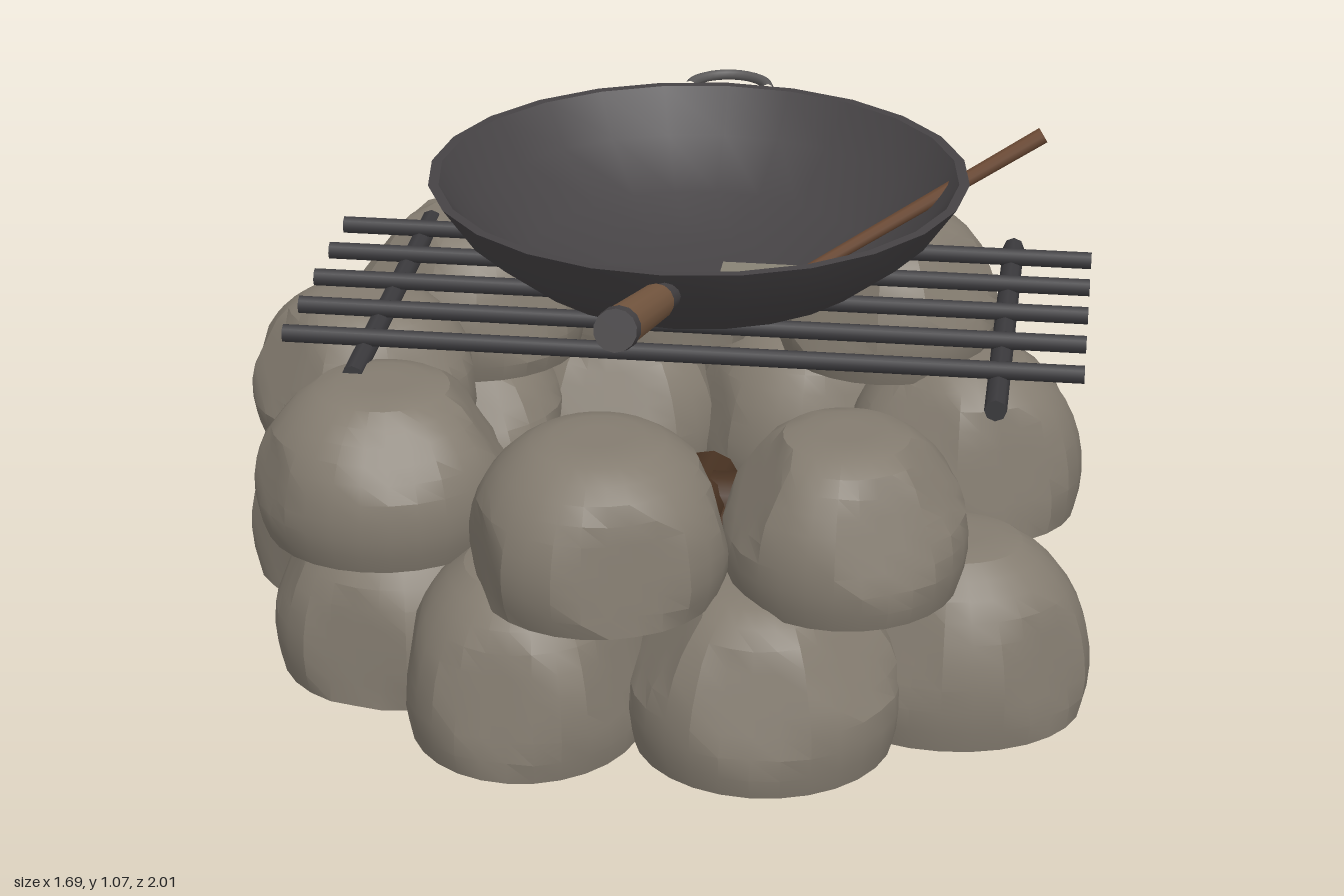
import * as THREE from 'three';
import { toCreasedNormals } from 'three/addons/utils/BufferGeometryUtils.js';

const mat = (name, color, side = THREE.FrontSide) => {
  const m = new THREE.MeshStandardMaterial({ color, side });
  m.name = name;
  return m;
};

// small seeded random generator
function seeded(seed) {
  let s = seed;
  return () => {
    s = (s * 16807) % 2147483647;
    return s / 2147483647;
  };
}

// boulder: a sphere cut flat underneath and chipped by a few planes
function boulderGeometry(rx, rz, height, seed) {
  const rand = seeded(seed * 7919 + 17);
  for (let i = 0; i < 4; i++) rand();
  const planes = [{ n: new THREE.Vector3(0, 1, 0), d: 0.92 }];
  const turn = rand() * 6.28;
  for (let i = 0; i < 5; i++) {
    const a = turn + i * 1.26 + rand() * 0.6;
    const n = new THREE.Vector3(Math.cos(a), -0.1 + rand() * 0.8, Math.sin(a)).normalize();
    planes.push({ n, d: 0.86 + rand() * 0.1 });
  }
  const rise = 0.09;
  const ry = (height - rise) / 0.92;
  const sink = rise / ry;
  const start = -Math.asin(sink);
  const profile = [new THREE.Vector2(0, -sink)];
  const steps = 12;
  for (let i = 0; i <= steps; i++) {
    const a = start + (Math.PI / 2 - start) * i / steps;
    profile.push(new THREE.Vector2(Math.max(Math.cos(a), 0) ** 0.9, Math.sin(a)));
  }
  const g = new THREE.LatheGeometry(profile, 28);
  const p = g.attributes.position;
  const v = new THREE.Vector3();
  for (let i = 0; i < p.count; i++) {
    v.fromBufferAttribute(p, i);
    const isBase = v.y < -sink + 1e-4;
    let r = 1;
    for (const { n, d } of planes) {
      const k = v.dot(n);
      if (k > 0) r = Math.min(r, d / k);
    }
    p.setXYZ(i, v.x * r * rx, isBase ? 0 : v.y * r * ry + rise, v.z * r * rz);
  }
  g.deleteAttribute('uv');
  return toCreasedNormals(g, 0.4);
}

export function createModel() {
  const stone = mat('stone', 0x847c70);
  const castIron = mat('castIron', 0x464345, THREE.DoubleSide);
  const barIron = mat('barIron', 0x3b3a3d);
  const steel = mat('steel', 0x5c5a5a);
  const ash = mat('ash', 0x423d40);
  const bark = mat('bark', 0x473121);
  const cutWood = mat('cutWood', 0x523924);
  const handleWood = mat('handleWood', 0x795a42);
  const spatulaWood = mat('spatulaWood', 0x6c4a34);
  const blade = mat('bladeMetal', 0x888274);

  const model = new THREE.Group();
  model.name = 'campfireWok';

  const add = (name, geometry, material, parent = model) => {
    const mesh = new THREE.Mesh(geometry, material);
    mesh.name = name;
    parent.add(mesh);
    return mesh;
  };

  // tapered round rod between two points
  const rod = (name, from, to, r0, r1, sides, material, parent) => {
    const a = new THREE.Vector3(...from), b = new THREE.Vector3(...to);
    const mesh = add(name, new THREE.CylinderGeometry(r1, r0, a.distanceTo(b), sides), material, parent);
    mesh.position.copy(a).add(b).multiplyScalar(0.5);
    mesh.quaternion.setFromUnitVectors(new THREE.Vector3(0, 1, 0), b.sub(a).normalize());
  };

  // two rings of boulders, open on the +x side: [x, z, rx, rz, height]
  const lower = [
    [0.58, 0.27, 0.265, 0.22, 0.345], [0.25, 0.45, 0.255, 0.255, 0.33], [-0.19, 0.45, 0.23, 0.26, 0.34],
    [-0.47, 0.23, 0.245, 0.245, 0.33], [-0.60, -0.15, 0.25, 0.24, 0.33], [-0.50, -0.53, 0.25, 0.25, 0.34],
    [-0.19, -0.74, 0.25, 0.255, 0.33], [0.23, -0.74, 0.255, 0.255, 0.34], [0.56, -0.58, 0.25, 0.23, 0.34],
  ];
  const upper = [
    [0.39, 0.40, 0.225, 0.23, 0.297], [-0.05, 0.48, 0.24, 0.24, 0.297], [-0.485, 0.28, 0.245, 0.235, 0.29],
    [-0.61, -0.145, 0.225, 0.205, 0.285], [-0.475, -0.575, 0.245, 0.225, 0.295], [-0.13, -0.77, 0.275, 0.235, 0.297],
    [0.385, -0.68, 0.235, 0.235, 0.297],
  ];
  const ring = (name, rows, y, seed) => {
    const group = new THREE.Group();
    group.name = name;
    rows.forEach(([x, z, rx, rz, h], i) => {
      add('boulder', boulderGeometry(rx, rz, h, seed + i), stone, group).position.set(x, y, z);
    });
    model.add(group);
  };
  ring('lowerStoneRing', lower, 0.003, 1);
  ring('upperStoneRing', upper, 0.31, 31);

  // ash bed
  add('ashBed', new THREE.CylinderGeometry(0.47, 0.47, 0.05, 24), ash).position.set(0.035, 0.025, -0.13);

  // firewood
  const logs = new THREE.Group();
  logs.name = 'firewood';
  model.add(logs);
  const logMaterials = [bark, cutWood, cutWood];
  rod('log', [-0.33, 0.13, 0.02], [0.36, 0.14, 0.01], 0.06, 0.06, 10, logMaterials, logs);
  rod('log', [-0.33, 0.13, -0.25], [0.36, 0.14, -0.24], 0.06, 0.06, 10, logMaterials, logs);
  rod('log', [0.02, 0.14, 0.07], [0.06, 0.14, -0.34], 0.06, 0.06, 10, logMaterials, logs);
  rod('log', [-0.2, 0.1, 0.1], [0.24, 0.1, -0.33], 0.05, 0.05, 10, logMaterials, logs);

  // grill grate
  const grate = new THREE.Group();
  grate.name = 'grillGrate';
  model.add(grate);
  for (let i = 0; i < 5; i++) {
    const z = -0.43 + i * 0.14;
    rod('grateBar', [-0.705, 0.62, z], [0.808, 0.62, z], 0.018, 0.018, 8, barIron, grate);
  }
  for (const x of [-0.547, 0.65]) {
    rod('crossBar', [x, 0.594, 0.255], [x, 0.594, -0.545], 0.021, 0.021, 8, barIron, grate);
  }

  // wok, with its axis at the group origin
  const wok = new THREE.Group();
  wok.name = 'wok';
  wok.position.set(0.055, 0, -0.14);
  model.add(wok);
  const outer = [[0, 0.637], [0.1, 0.64], [0.19, 0.652], [0.34, 0.7], [0.455, 0.79], [0.518, 0.88]];
  const inner = [[0.498, 0.88], [0.437, 0.798], [0.328, 0.713], [0.185, 0.667], [0.1, 0.655], [0, 0.652]];
  const profile = [...outer, ...inner].map(([r, y]) => new THREE.Vector2(r, y));
  const bowl = new THREE.LatheGeometry(profile, 24);
  bowl.deleteAttribute('uv');
  add('bowl', toCreasedNormals(bowl, 0.7), castIron, wok);

  // long handle
  rod('handleNeck', [0, 0.825, 0.48], [0, 0.885, 0.66], 0.026, 0.029, 12, castIron, wok);
  rod('handleGrip', [0, 0.876, 0.63], [0, 1.027, 1.1], 0.033, 0.036, 14, handleWood, wok);
  rod('handleCap', [0, 1.025, 1.095], [0, 1.037, 1.133], 0.038, 0.036, 14, castIron, wok);
  add('handleRivet', new THREE.SphereGeometry(0.009, 8, 6), castIron, wok).position.set(0, 0.85, 0.478);

  // helper loop at the back
  const loop = add('helperLoop', new THREE.TorusGeometry(0.08, 0.011, 8, 16, Math.PI), steel, wok);
  loop.rotation.x = -Math.PI / 2;
  loop.position.set(0, 0.869, -0.52);

  // spatula resting in the wok
  const spatula = new THREE.Group();
  spatula.name = 'spatula';
  model.add(spatula);
  add('spatulaBlade', new THREE.BoxGeometry(0.15, 0.012, 0.145), blade, spatula).position.set(0.172, 0.668, -0.128);
  rod('spatulaHandle', [0.235, 0.67, -0.128], [0.705, 0.948, -0.248], 0.012, 0.016, 8, spatulaWood, spatula);

  return model;
}
